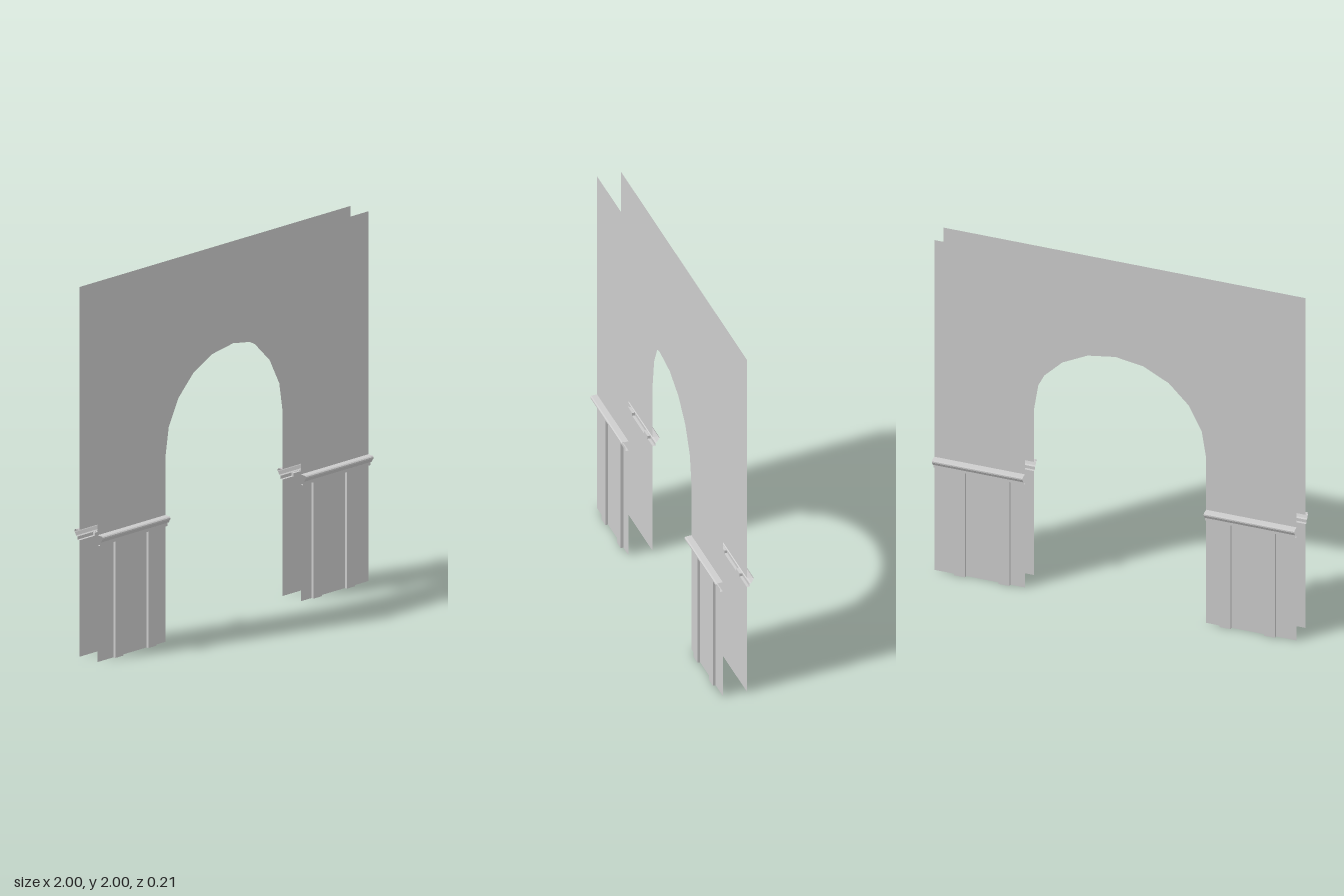
import * as THREE from 'three';

const WALL_Z = 0.066, BATTEN_Z = 0.081;
const RAIL_BOTTOM = 0.63, RAIL_TOP = 0.686;

export function createModel() {
  const material = new THREE.MeshStandardMaterial({
    color: 0xcccccc, flatShading: true, side: THREE.DoubleSide,
  });

  const add = (group, name, geometry) => {
    const mesh = new THREE.Mesh(geometry, material);
    mesh.name = name;
    group.add(mesh);
    return mesh;
  };

  // Thin wall sheet above the rail, with a ten-sided semicircular arch
  const wallShape = new THREE.Shape();
  wallShape.moveTo(-1, RAIL_TOP).lineTo(-0.5, RAIL_TOP);
  for (let i = 0; i <= 10; i++) {
    const a = Math.PI * (1 - i / 10);
    wallShape.lineTo(0.5 * Math.cos(a), 1 + 0.505 * Math.sin(a));
  }
  wallShape.lineTo(0.5, RAIL_TOP).lineTo(1, RAIL_TOP).lineTo(1, 2).lineTo(-1, 2);
  const wallGeometry = new THREE.ShapeGeometry(wallShape);

  // Open moulding strip: a [y, z] profile swept along the pier
  const profile = [
    [RAIL_BOTTOM, WALL_Z], [RAIL_BOTTOM, BATTEN_Z], [0.647, BATTEN_Z],
    [0.651, 0.09], [0.667, 0.099], [0.671, 0.103], [0.679, 0.103],
    [0.684, 0.097], [RAIL_TOP, WALL_Z],
  ];
  const railPoints = [], railIndex = [];
  profile.forEach(([y, z], i) => {
    railPoints.push(-0.25, y, z, 0.25, y, z);
    const k = 2 * i;
    if (i < profile.length - 1) railIndex.push(k, k + 1, k + 3, k, k + 3, k + 2);
  });
  const rail = new THREE.BufferGeometry();
  rail.setAttribute('position', new THREE.Float32BufferAttribute(railPoints, 3));
  rail.setIndex(railIndex);
  const railGeometry = rail.toNonIndexed();
  railGeometry.computeVertexNormals();

  const panelGeometry = new THREE.PlaneGeometry(0.5, RAIL_BOTTOM);
  const battenGeometry = new THREE.BoxGeometry(0.06, 0.646, BATTEN_Z - WALL_Z);

  // One complete face of the archway
  const createFace = (name) => {
    const face = new THREE.Group();
    face.name = name;
    add(face, 'archWall', wallGeometry).position.z = WALL_Z;
    for (const side of [-1, 1]) {
      const pier = new THREE.Group();
      pier.name = side > 0 ? 'leftPier' : 'rightPier';
      pier.position.x = side * 0.75;
      add(pier, 'lowerPanel', panelGeometry).position.set(0, RAIL_BOTTOM / 2, WALL_Z);
      add(pier, 'chairRail', railGeometry);
      // Vertical battens
      for (const x of [0.61, 0.855]) {
        add(pier, 'batten', battenGeometry)
          .position.set(side * (x - 0.75), 0.323, (WALL_Z + BATTEN_Z) / 2);
      }
      face.add(pier);
    }
    return face;
  };

  const model = new THREE.Group();
  model.name = 'archway';
  const back = createFace('backFace');
  back.rotation.y = Math.PI;
  model.add(createFace('frontFace'), back);
  return model;
}
